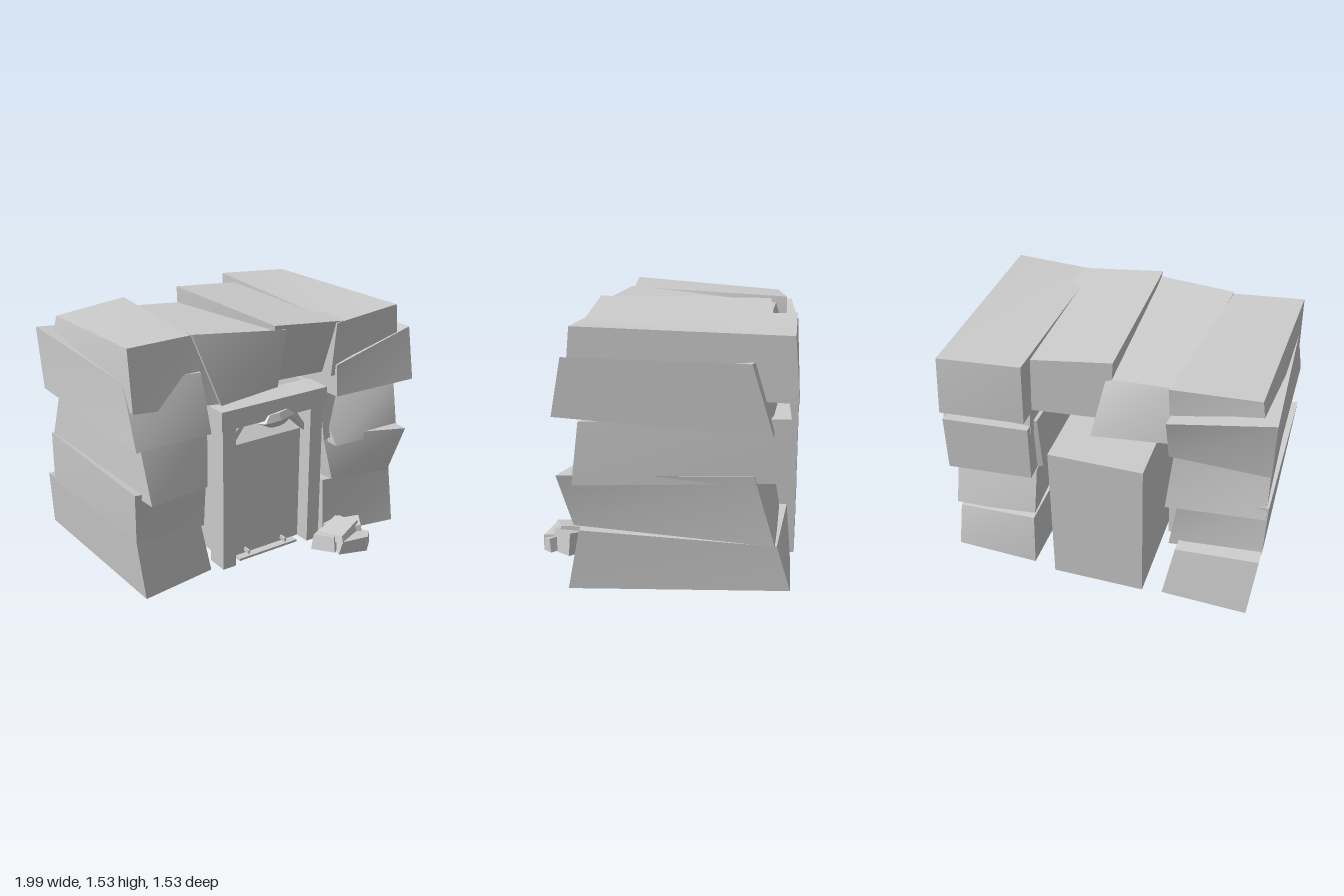
import * as THREE from 'three';

export function createModel() {
  const root = new THREE.Group();
  const stone = new THREE.MeshStandardMaterial({ color: 0xcccccc });
  stone.name = 'paleStone';

  function add(name, geometry, parent = root) {
    const mesh = new THREE.Mesh(geometry, stone);
    mesh.name = name;
    parent.add(mesh);
    return mesh;
  }

  // Skewed block: four front corners then four back corners,
  // each ring running top left, top right, bottom right, bottom left.
  function block(name, front, back) {
    const g = new THREE.BoxGeometry(1, 1, 1);
    const p = g.attributes.position;
    for (let i = 0; i < p.count; i++) {
      const ring = p.getZ(i) > 0 ? front : back;
      const right = p.getX(i) > 0, top = p.getY(i) > 0;
      p.setXYZ(i, ...ring[top ? (right ? 1 : 0) : (right ? 2 : 3)]);
    }
    g.computeVertexNormals();
    return add(name, g);
  }

  // Straight box given by its minimum and maximum corners
  function box(name, x0, x1, y0, y1, z0, z1) {
    const g = new THREE.BoxGeometry(x1 - x0, y1 - y0, z1 - z0);
    g.translate((x0 + x1) / 2, (y0 + y1) / 2, (z0 + z1) / 2);
    return add(name, g);
  }

  // Wall on the -x side, bottom to top
  block('rightWallBlock1',
    [[-0.95, 0.39, 0.42], [-0.51, 0.385, 0.40], [-0.41, 0.005, 0.36], [-0.91, 0.015, 0.44]],
    [[-0.98, 0.40, -0.70], [-0.47, 0.34, -0.68], [-0.41, 0.01, -0.74], [-0.94, 0.015, -0.76]]);
  block('rightWallBlock2',
    [[-0.98, 0.72, 0.48], [-0.50, 0.65, 0.45], [-0.51, 0.38, 0.44], [-0.95, 0.39, 0.42]],
    [[-0.99, 0.73, -0.58], [-0.46, 0.64, -0.62], [-0.41, 0.30, -0.60], [-0.98, 0.38, -0.61]]);
  block('rightWallBlock3',
    [[-0.92, 1.06, 0.42], [-0.48, 1.03, 0.44], [-0.50, 0.64, 0.47], [-0.93, 0.68, 0.58]],
    [[-0.97, 0.99, -0.48], [-0.43, 1.05, -0.60], [-0.40, 0.67, -0.68], [-0.98, 0.65, -0.60]]);
  block('rightWallBlock4',
    [[-0.95, 1.33, 0.33], [-0.51, 1.33, 0.43], [-0.49, 0.98, 0.50], [-0.97, 0.98, 0.50]],
    [[-1.00, 1.40, -0.68], [-0.41, 1.33, -0.74], [-0.41, 1.04, -0.66], [-0.99, 1.01, -0.64]]);
  block('rightWallBlock5',
    [[-0.95, 1.54, 0.40], [-0.53, 1.53, 0.36], [-0.41, 1.13, 0.46], [-0.95, 1.18, 0.44]],
    [[-0.90, 1.475, -0.59], [-0.40, 1.50, -0.66], [-0.42, 1.15, -0.66], [-0.95, 1.20, -0.64]]);
  block('rightInnerStone',
    [[-0.60, 0.60, 0.20], [-0.44, 0.58, 0.20], [-0.43, 0.28, 0.20], [-0.60, 0.28, 0.20]],
    [[-0.60, 0.64, -0.50], [-0.37, 0.62, -0.45], [-0.37, 0.25, -0.45], [-0.60, 0.27, -0.50]]);

  // Wall on the +x side, bottom to top
  block('leftWallBlock1',
    [[0.40, 0.42, 0.42], [0.96, 0.37, 0.43], [0.95, 0.01, 0.50], [0.40, 0.04, 0.44]],
    [[0.42, 0.38, -0.71], [0.93, 0.32, -0.67], [0.93, 0.06, -0.75], [0.42, 0.03, -0.74]]);
  block('leftWallBlock2',
    [[0.43, 0.71, 0.37], [0.97, 0.69, 0.55], [0.91, 0.38, 0.47], [0.46, 0.42, 0.44]],
    [[0.42, 0.69, -0.61], [0.96, 0.73, -0.54], [0.96, 0.33, -0.66], [0.43, 0.36, -0.67]]);
  block('leftWallBlock3',
    [[0.46, 1.02, 0.20], [0.96, 1.00, 0.42], [0.98, 0.64, 0.46], [0.46, 0.66, 0.47]],
    [[0.42, 1.06, -0.70], [0.94, 1.05, -0.73], [0.94, 0.69, -0.73], [0.42, 0.70, -0.70]]);
  block('leftWallBlock4',
    [[0.44, 1.20, 0.47], [0.99, 1.36, 0.50], [0.99, 1.03, 0.56], [0.44, 1.00, 0.48]],
    [[0.42, 1.33, -0.62], [0.99, 1.35, -0.52], [0.99, 0.96, -0.64], [0.42, 1.00, -0.66]]);
  block('leftWallBlock5',
    [[0.41, 1.475, 0.49], [0.90, 1.51, 0.47], [0.91, 1.17, 0.50], [0.41, 1.13, 0.45]],
    [[0.41, 1.53, -0.74], [0.92, 1.49, -0.74], [0.93, 1.13, -0.77], [0.42, 1.14, -0.74]]);
  block('leftInnerStone',
    [[0.40, 1.02, 0.36], [0.62, 1.00, 0.28], [0.64, 0.71, 0.36], [0.39, 0.70, 0.43]],
    [[0.40, 1.06, -0.60], [0.62, 1.06, -0.62], [0.62, 0.70, -0.62], [0.39, 0.70, -0.58]]);

  // Roof slabs over the doorway
  block('roofSlabRight',
    [[-0.53, 1.535, 0.37], [0.03, 1.50, 0.495], [0.03, 1.13, 0.42], [-0.40, 1.12, 0.47]],
    [[-0.41, 1.46, -0.59], [-0.02, 1.43, -0.57], [0.03, 1.13, -0.72], [-0.41, 1.13, -0.66]]);
  block('roofSlabLeft',
    [[-0.05, 1.535, 0.49], [0.50, 1.475, 0.48], [0.50, 1.13, 0.36], [0.02, 1.155, 0.38]],
    [[-0.06, 1.54, -0.57], [0.45, 1.49, -0.61], [0.45, 1.15, -0.62], [-0.04, 1.16, -0.58]]);

  // Passage body and recessed door
  box('passageBody', -0.29, 0.28, 0.015, 0.965, -0.76, 0.24);
  block('doorPanel',
    [[-0.28, 0.785, 0.34], [0.27, 0.785, 0.34], [0.27, 0.03, 0.34], [-0.28, 0.03, 0.34]],
    [[-0.28, 0.865, 0.22], [0.27, 0.865, 0.22], [0.27, 0.03, 0.22], [-0.28, 0.03, 0.22]]);

  // Door frame, mirrored about its centre line
  for (const s of [-1, 1]) {
    const cx = -0.005, side = s < 0 ? 'Right' : 'Left';
    const a = cx + s * 0.275, b = cx + s * 0.367;
    box('framePost' + side, Math.min(a, b), Math.max(a, b), 0.03, 0.955, 0.30, 0.44);
    const brace = new THREE.Shape([
      [a, 0.785], [a, 0.83], [cx + s * 0.19, 0.95], [cx + s * 0.15, 0.95],
    ].map(([x, y]) => new THREE.Vector2(x, y)));
    add('cornerBrace' + side, new THREE.ExtrudeGeometry(brace, { depth: 0.1, bevelEnabled: false }))
      .position.z = 0.28;
    box('doorStop' + side, cx + s * 0.14 - 0.006, cx + s * 0.14 + 0.006, 0.045, 0.07, 0.34, 0.39);
  }
  box('frameLintel', -0.39, 0.38, 0.95, 1.07, 0.27, 0.455);
  box('threshold', -0.23, 0.21, 0.03, 0.045, 0.36, 0.41);

  // Faceted ornament on the lintel: two rings of facets meeting at the widest line
  const ornament = new THREE.Group();
  ornament.name = 'lintelOrnament';
  for (const [name, top, bottom, y] of [['ornamentTop', 0.08, 0.13, 0.022], ['ornamentBase', 0.13, 0.06, -0.022]]) {
    const g = new THREE.CylinderGeometry(top, bottom, 0.044, 7).toNonIndexed();
    g.computeVertexNormals();
    add(name, g, ornament).position.y = y;
  }
  ornament.scale.z = 0.35;
  ornament.rotation.z = 0.1;
  ornament.position.set(0.01, 0.945, 0.445);
  root.add(ornament);

  // Small rubble heap in front of the wall: x, y, z, width, height, depth, turn
  const rubble = new THREE.Group();
  rubble.name = 'rubble';
  const stones = [
    [0.31, 0.10, 0.60, 0.15, 0.10, 0.16, 0.5],
    [0.49, 0.11, 0.60, 0.16, 0.13, 0.16, -0.6],
    [0.41, 0.10, 0.695, 0.21, 0.09, 0.12, -0.15],
    [0.39, 0.155, 0.61, 0.23, 0.05, 0.19, 0.35],
    [0.43, 0.10, 0.54, 0.18, 0.13, 0.11, 0.2],
    [0.50, 0.09, 0.70, 0.10, 0.08, 0.10, 0.7],
  ];
  stones.forEach(([x, y, z, w, h, d, turn], i) => {
    const g = new THREE.BoxGeometry(w, h, d);
    const p = g.attributes.position;
    for (let k = 0; k < p.count; k++) {
      if (p.getY(k) > 0) p.setXYZ(k, p.getX(k) * 0.85, p.getY(k) + p.getX(k) * 0.08, p.getZ(k) * 0.85);
    }
    g.computeVertexNormals();
    const m = add('rubbleStone' + (i + 1), g, rubble);
    m.position.set(x, y, z);
    m.rotation.set(0.1 * (i % 3 - 1), turn, 0.1 * (i % 2 ? 1 : -1));
  });
  root.add(rubble);

  return root;
}
